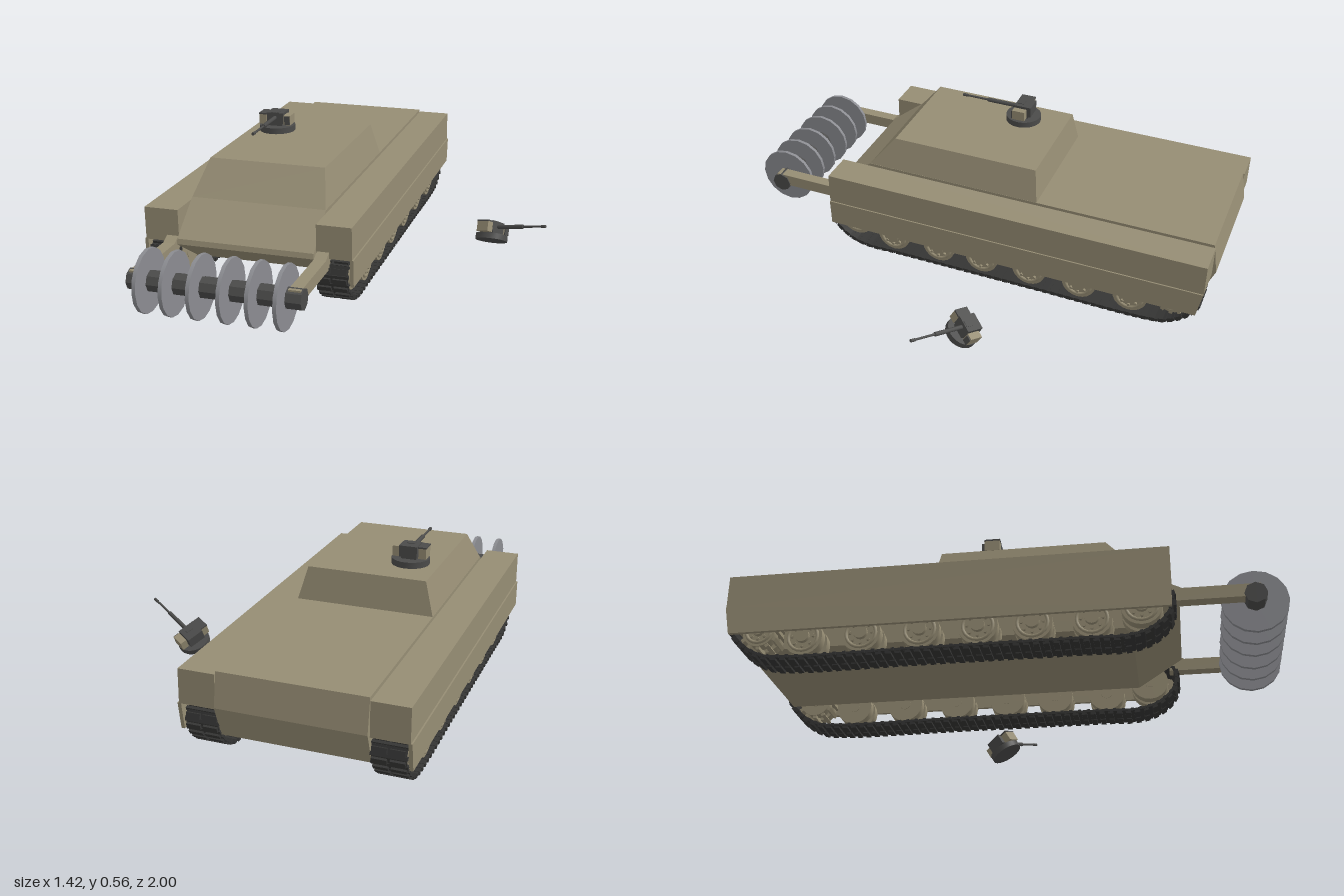
import * as THREE from 'three';
import { mergeGeometries, toCreasedNormals } from 'three/addons/utils/BufferGeometryUtils.js';

const material = (name, color) => {
  const m = new THREE.MeshStandardMaterial({ color });
  m.name = name;
  return m;
};
const CX = -0.3025; // the vehicle stands beside its spare gun mount

export function createModel() {
  const tan = material('tan paint', 0x968d74);
  const dark = material('dark metal', 0x4b4b4a);
  const rubber = material('track rubber', 0x353534);
  const steel = material('bare steel', 0x8b8c91);

  const model = new THREE.Group();
  model.name = 'mineRollerTank';
  const tank = new THREE.Group();
  tank.name = 'tank';
  tank.position.x = CX;
  model.add(tank);

  const add = (parent, name, geo, mat, x = 0, y = 0, z = 0) => {
    const mesh = new THREE.Mesh(geo, mat);
    mesh.name = name;
    mesh.position.set(x, y, z);
    parent.add(mesh);
    return mesh;
  };
  const box = (w, h, d) => new THREE.BoxGeometry(w, h, d);
  // cylinder lying along x
  const axle = (r, w, n) =>
    toCreasedNormals(new THREE.CylinderGeometry(r, r, w, n).rotateZ(Math.PI / 2), 0.6);
  // side profile of [z, y] points, extruded to a width along x
  const sideProfile = (pts, width) => {
    const shape = new THREE.Shape(pts.map(([z, y]) => new THREE.Vector2(z, y)));
    return new THREE.ExtrudeGeometry(shape, { depth: width, bevelEnabled: false })
      .translate(0, 0, -width / 2).rotateY(-Math.PI / 2);
  };

  // Hull with sloping nose and angled tail
  add(tank, 'hull', sideProfile([
    [0.45, 0.1], [0.62, 0.21], [0.615, 0.23], [0.47, 0.345],
    [-0.98, 0.345], [-1, 0.22], [-0.95, 0.1],
  ], 0.532), tan);

  // Turret: a box whose top is drawn in
  const turret = box(0.53, 0.127, 0.735);
  const p = turret.attributes.position;
  for (let i = 0; i < p.count; i++) {
    if (p.getY(i) > 0) {
      p.setX(i, Math.sign(p.getX(i)) * 0.23);
      p.setZ(i, p.getZ(i) > 0 ? 0.263 : -0.347);
    }
  }
  turret.computeVertexNormals();
  add(tank, 'turret', turret, tan, 0, 0.4085, 0.1025);

  // Track loop as [z, y] points
  const loop = new THREE.CatmullRomCurve3([
    [0.3, 0.014], [0.44, 0.014], [0.515, 0.035], [0.575, 0.085], [0.594, 0.14],
    [0.58, 0.18], [0.53, 0.192], [0.1, 0.192], [-0.4, 0.192], [-0.9, 0.192],
    [-0.955, 0.175], [-0.962, 0.13], [-0.92, 0.07], [-0.85, 0.026], [-0.78, 0.014], [-0.3, 0.014],
  ].map(([z, y]) => new THREE.Vector3(0, y, z)), true, 'centripetal');
  const LINKS = 96;
  const linkParts = [];
  for (let i = 0; i < LINKS; i++) {
    const at = loop.getPointAt(i / LINKS);
    const t = loop.getTangentAt(i / LINKS);
    const turn = Math.atan2(-t.y, t.z);
    const place = (g) => linkParts.push(g.rotateX(turn).translate(0, at.y, at.z));
    place(box(0.118, 0.009, 0.036));
    // paired ground pads on the outer face, wider end connectors
    for (const s of [-1, 1]) place(box(0.052, 0.012, 0.02).translate(s * 0.031, -0.008, 0));
    place(box(0.126, 0.012, 0.012).translate(0, 0, 0.016));
  }
  const trackGeo = mergeGeometries(linkParts);

  const wheelZ = [0.32, 0.115, -0.075, -0.28, -0.49, -0.7];
  const addWheel = (parent, name, r, y, z, side) => {
    const wheel = new THREE.Group();
    wheel.name = name;
    wheel.position.set(0, y, z);
    parent.add(wheel);
    for (const s of [-1, 1]) add(wheel, 'wheelDisc', axle(r, 0.036, 20), tan, s * 0.03);
    add(wheel, 'wheelAxle', axle(0.022, 0.1, 12), tan);
    // raised rim, hub and lugs on the outer face
    add(wheel, 'wheelRim', new THREE.TorusGeometry(r * 0.76, 0.006, 6, 20).rotateY(Math.PI / 2), tan, side * 0.048);
    add(wheel, 'wheelHub', axle(r * 0.36, 0.02, 12), tan, side * 0.053);
    for (let k = 0; k < 8; k++) {
      const a = (k / 8) * Math.PI * 2;
      add(wheel, 'wheelLug', axle(0.006, 0.012, 6), tan,
        side * 0.052, Math.cos(a) * r * 0.55, Math.sin(a) * r * 0.55);
    }
  };

  // Both flanks
  for (const side of [-1, 1]) {
    const flank = new THREE.Group();
    flank.name = side > 0 ? 'leftFlank' : 'rightFlank';
    tank.add(flank);
    add(flank, 'sponson', box(0.134, 0.127, 1.58), tan, side * 0.3355, 0.2715, -0.195);
    add(flank, 'sideSkirt', sideProfile([
      [0.592, 0.105], [0.595, 0.21], [-0.985, 0.21], [-0.965, 0.105],
    ], 0.013), tan, side * 0.4015);

    const gear = new THREE.Group();
    gear.name = 'runningGear';
    gear.position.x = side * 0.327;
    flank.add(gear);
    add(gear, 'track', trackGeo, rubber);
    for (const z of wheelZ) addWheel(gear, 'roadWheel', 0.07, 0.09, z, side);
    addWheel(gear, 'idlerWheel', 0.072, 0.128, 0.49, side);
    addWheel(gear, 'driveSprocket', 0.06, 0.124, -0.865, side);
    for (let k = 0; k < 12; k++) {
      const a = (k / 12) * Math.PI * 2;
      add(gear, 'sprocketTooth', box(0.09, 0.016, 0.014).rotateX(a), tan,
        0, 0.124 + Math.cos(a) * 0.063, -0.865 + Math.sin(a) * 0.063);
    }

    // Arm holding the mine roller
    add(flank, 'rollerArm', sideProfile([
      [0.9, 0.167], [0.9, 0.215], [0.63, 0.215], [0.59, 0.235], [0.57, 0.235], [0.57, 0.167],
    ], 0.046), tan, side * 0.294);
  }

  // Mine roller
  const roller = new THREE.Group();
  roller.name = 'mineRoller';
  roller.position.set(0, 0.177, 0.88);
  tank.add(roller);
  add(roller, 'rollerBar', axle(0.04, 0.645, 8), dark);
  for (const x of [-0.555, -0.457, -0.357, -0.247, -0.145, -0.045])
    add(roller, 'rollerDisc', axle(0.118, 0.014, 16), steel, x - CX);

  // Gun mount: origin at the gun axis, pointing along +z
  const gunMount = (name, baseRadius) => {
    const g = new THREE.Group();
    g.name = name;
    const base = new THREE.CylinderGeometry(baseRadius, baseRadius, 0.024, 24);
    add(g, 'mountBase', toCreasedNormals(base, 0.6), dark, 0, -0.045, 0);
    add(g, 'pedestal', box(0.06, 0.03, 0.06), dark, 0, -0.024, 0);
    add(g, 'receiver', box(0.07, 0.044, 0.072), dark, 0, -0.001, -0.006);
    add(g, 'gunSight', box(0.03, 0.01, 0.03), dark, 0, 0.018, 0.01);
    add(g, 'ammoBoxRight', box(0.03, 0.042, 0.058), tan, -0.052, -0.008, 0.002);
    add(g, 'ammoBoxLid', box(0.032, 0.006, 0.06), dark, -0.052, 0.015, 0.002);
    add(g, 'ammoBoxLeft', box(0.028, 0.04, 0.054), tan, 0.051, -0.008, 0.002);
    add(g, 'sightBoxFace', box(0.022, 0.034, 0.006), dark, 0.053, -0.008, 0.031);
    const barrel = (part, r, len, z) =>
      add(g, part, new THREE.CylinderGeometry(r, r, len, 10).rotateX(Math.PI / 2), dark, 0, 0, z);
    barrel('barrelJacket', 0.0085, 0.13, 0.095);
    barrel('barrel', 0.0045, 0.13, 0.205);
    barrel('muzzle', 0.0062, 0.02, 0.264);
    return g;
  };
  const topGun = gunMount('turretGun', 0.073);
  topGun.position.set(-0.42, 0.529, -0.065);
  model.add(topGun);

  // Spare mount lying tilted beside the vehicle
  const spare = gunMount('spareGun', 0.066);
  const forward = new THREE.Vector3(0.845, 0.27, 0.462).normalize();
  const up = new THREE.Vector3(0, 0.865, -0.505).normalize();
  const lateral = new THREE.Vector3().crossVectors(up, forward).normalize();
  up.crossVectors(forward, lateral);
  spare.quaternion.setFromRotationMatrix(new THREE.Matrix4().makeBasis(lateral, up, forward));
  spare.position.set(0.473, 0.09, -0.182);
  model.add(spare);

  return model;
}
